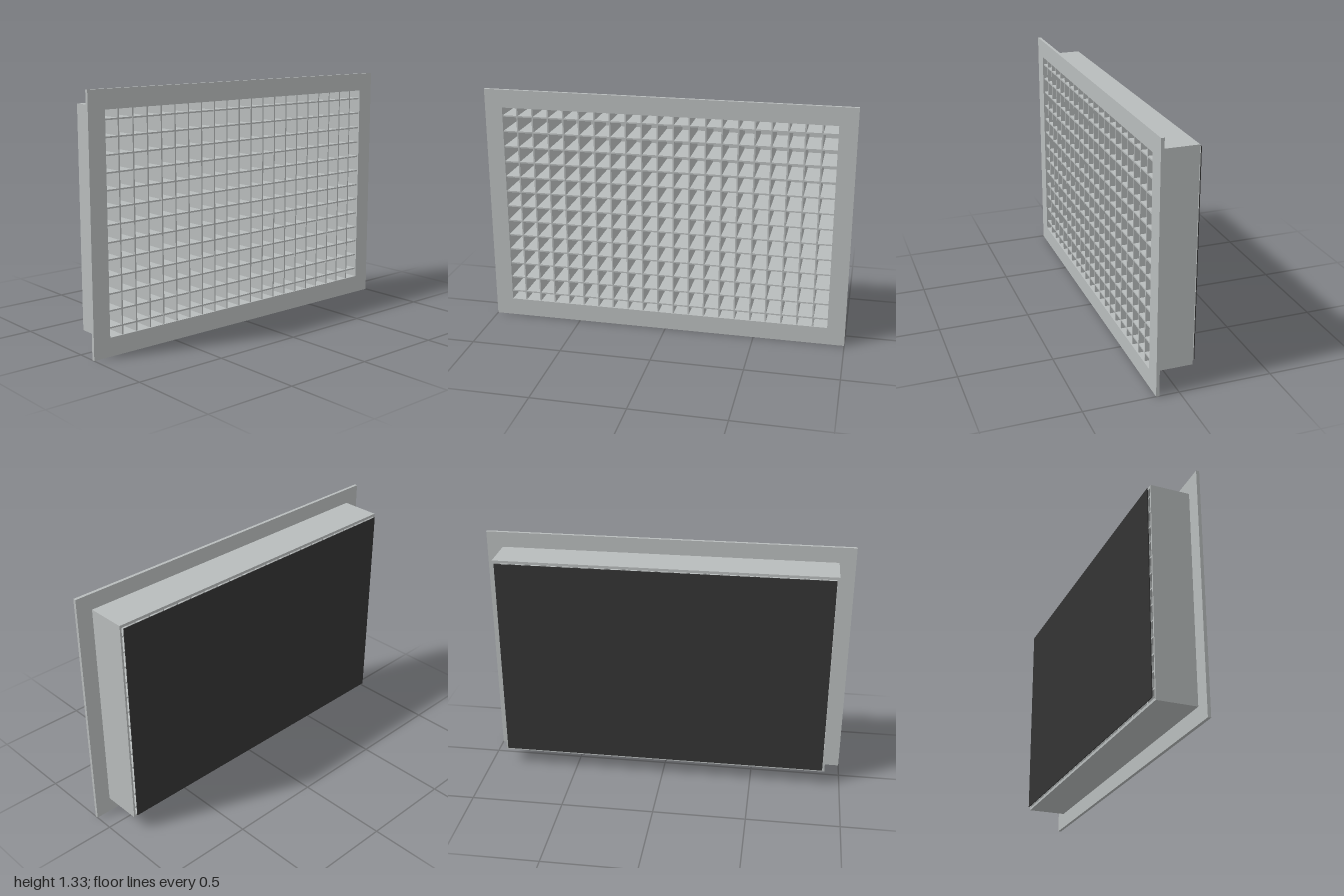
import * as THREE from 'three';

const MID_Y = 0.667;          // height of the grille centre
const OPEN_W = 1.806, OPEN_H = 1.136;

const metal = new THREE.MeshStandardMaterial({ color: 0xb8bcbc });
metal.name = 'grey metal';
const dark = new THREE.MeshStandardMaterial({ color: 0x333333 });
dark.name = 'dark backing';

// Rectangular ring extruded between two depths
function frame(name, w, h, z0, z1) {
  const ring = new THREE.Shape();
  ring.moveTo(-w / 2, -h / 2).lineTo(w / 2, -h / 2).lineTo(w / 2, h / 2).lineTo(-w / 2, h / 2).closePath();
  const hole = new THREE.Path();
  const a = OPEN_W / 2, b = OPEN_H / 2;
  hole.moveTo(-a, -b).lineTo(-a, b).lineTo(a, b).lineTo(a, -b).closePath();
  ring.holes.push(hole);
  const geo = new THREE.ExtrudeGeometry(ring, { depth: z1 - z0, bevelEnabled: false });
  const mesh = new THREE.Mesh(geo, metal);
  mesh.name = name;
  mesh.position.set(0, MID_Y, z0);
  return mesh;
}

function box(name, w, h, z0, z1, x, y, material) {
  const mesh = new THREE.Mesh(new THREE.BoxGeometry(w, h, z1 - z0), material);
  mesh.name = name;
  mesh.position.set(x, y, (z0 + z1) / 2);
  return mesh;
}

export function createModel() {
  const model = new THREE.Group();
  model.name = 'ventGrille';

  // Front flange and the duct collar behind it
  model.add(frame('flange', 2, 1.334, 0.105, 0.122));
  model.add(frame('ductCollar', 1.826, 1.164, -0.108, 0.105));

  // Egg-crate core: crossing blades
  const core = new THREE.Group();
  core.name = 'eggCrateCore';
  const pitch = 0.0866, blade = 0.008;
  for (let i = 0; i < 20; i++)
    core.add(box('verticalBlade', blade, OPEN_H, -0.108, 0.115, (i - 9.5) * pitch, MID_Y, metal));
  for (let j = 0; j < 13; j++)
    core.add(box('horizontalBlade', OPEN_W, blade, -0.108, 0.1145, 0, MID_Y + (j - 6) * pitch, metal));
  model.add(core);

  // Dark panel behind the collar, with a grey face toward the grille
  model.add(box('backPanel', 1.8, 1.134, -0.122, -0.118, 0, MID_Y, dark));
  const liner = new THREE.Mesh(new THREE.PlaneGeometry(1.8, 1.134), metal);
  liner.name = 'panelLiner';
  liner.position.set(0, MID_Y, -0.117);
  model.add(liner);

  return model;
}
